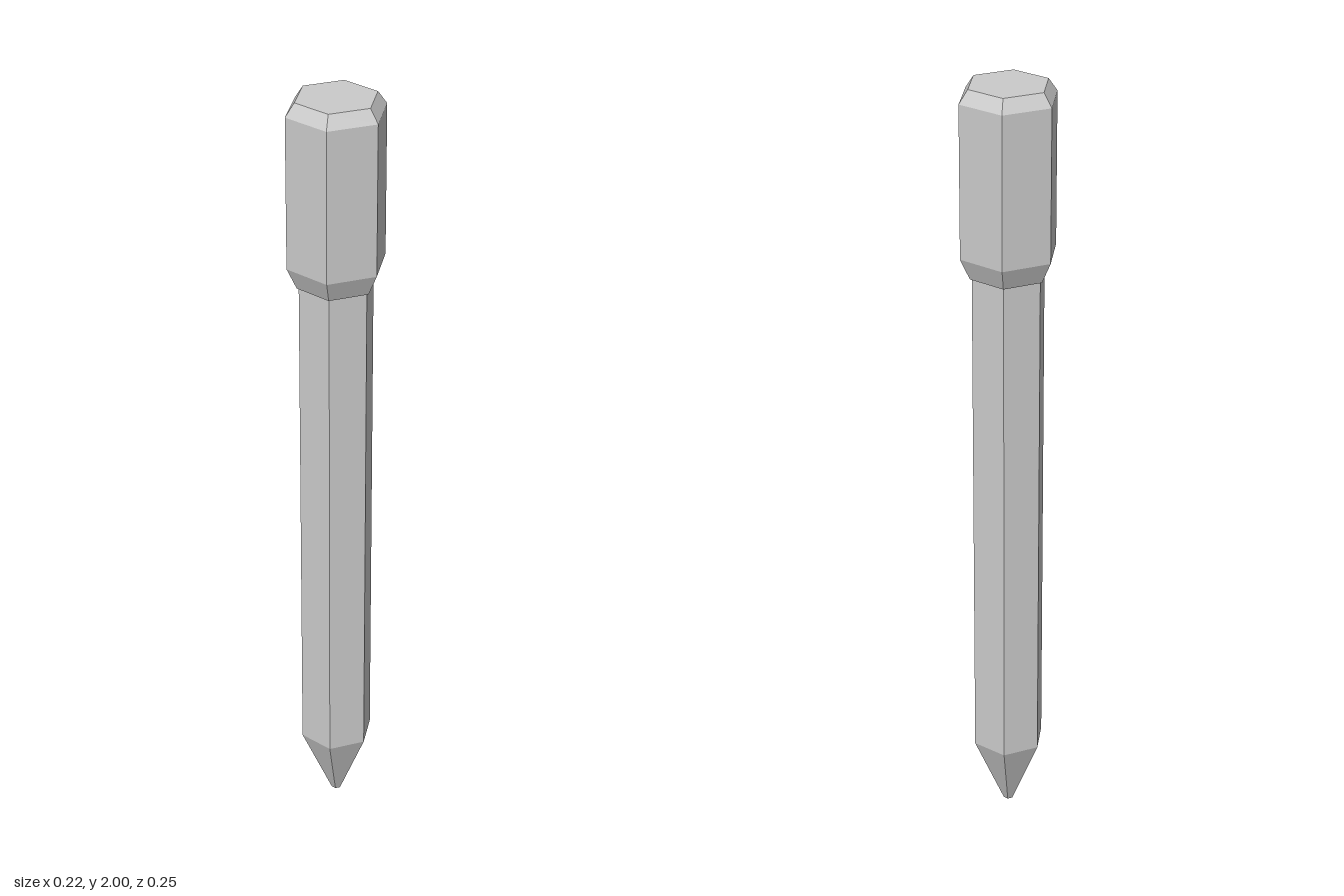
import * as THREE from 'three';

const material = new THREE.MeshStandardMaterial({ color: 0xcccccc, flatShading: true });

// Six-sided solid with corners on +z and -z; profile is [radius, y] from bottom to top
function hexPart(name, profile) {
  const points = profile.map(([r, y]) => new THREE.Vector2(r, y));
  const mesh = new THREE.Mesh(new THREE.LatheGeometry(points, 6), material);
  mesh.name = name;
  return mesh;
}

export function createModel() {
  const group = new THREE.Group();
  group.name = 'hexagonalStake';

  // Long shaft, tapering to a small blunt point
  group.add(hexPart('shaftAndTip', [
    [0, 0], [0.013, 0], [0.095, 0.195], [0.095, 1.53], [0, 1.53],
  ]));

  // Thicker head with a sloped shoulder and a bevelled top
  group.add(hexPart('head', [
    [0, 1.525], [0.1, 1.525], [0.125, 1.58], [0.125, 1.967], [0.102, 2], [0, 2],
  ]));

  return group;
}
